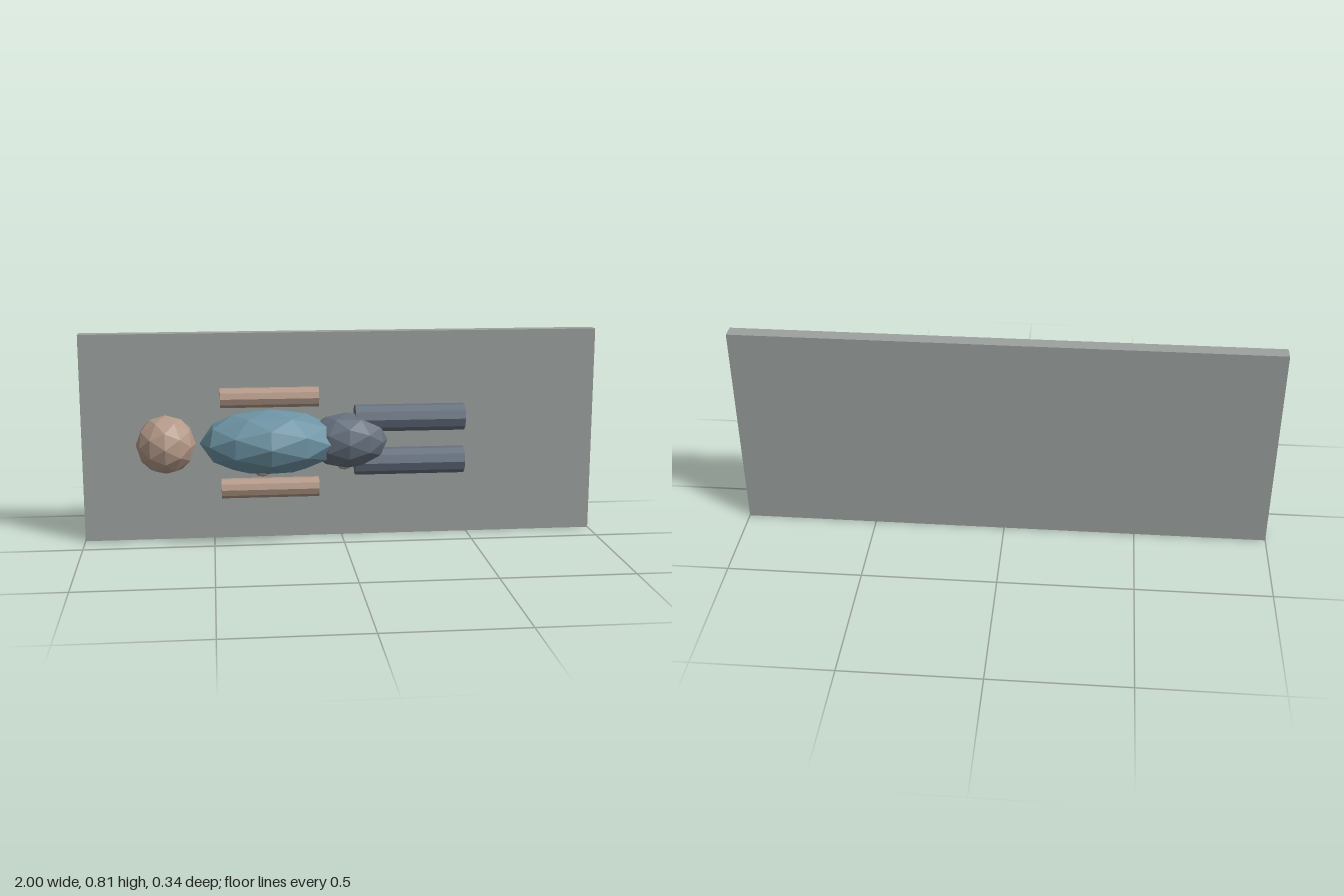
import * as THREE from 'three';

function material(name, color) {
  const m = new THREE.MeshStandardMaterial({ color, flatShading: true });
  m.name = name;
  return m;
}

export function createModel() {
  const group = new THREE.Group();
  group.name = 'recliningFigureRelief';
  const stone = material('stoneGrey', 0x9ca2a1);
  const skin = material('skinTan', 0xb49988);
  const shirt = material('shirtBlue', 0x6d93a4);
  const trousers = material('trouserSlate', 0x66707e);

  const add = (name, geometry, mat, x, y, z) => {
    const mesh = new THREE.Mesh(geometry, mat);
    mesh.name = name;
    mesh.position.set(x, y, z);
    group.add(mesh);
  };
  // Faceted ellipsoid
  const blob = (name, mat, pos, radii) =>
    add(name, new THREE.IcosahedronGeometry(1, 1).scale(...radii), mat, ...pos);
  // Ten-sided limb lying along x
  const limb = (name, mat, x0, x1, y, z, r) =>
    add(name, new THREE.CylinderGeometry(r, r, x1 - x0, 10).rotateZ(Math.PI / 2), mat, (x0 + x1) / 2, y, z);

  // Backing slab
  add('slab', new THREE.BoxGeometry(2, 0.806, 0.053), stone, 0, 0.403, -0.1445);

  // Head, torso and hips
  blob('head', skin, [-0.675, 0.405, 0.012], [0.112, 0.112, 0.114]);
  blob('torso', shirt, [-0.285, 0.405, 0], [0.265, 0.125, 0.17]);
  blob('hips', trousers, [0.01, 0.405, 0], [0.155, 0.108, 0.107]);

  // Arms and legs on both sides
  for (const [side, s] of [['upper', 1], ['lower', -1]]) {
    limb(side + 'Arm', skin, -0.47, -0.1, 0.404 + s * 0.174, 0.011, 0.038);
    limb(side + 'Leg', trousers, 0.04, 0.46, 0.404 + s * 0.084, -0.007, 0.052);
  }

  // Small flat pebbles close to the slab
  const pebbles = [
    [-0.675, 0.305, -0.1],
    [-0.31, 0.268, -0.097],
    [0.01, 0.287, -0.104],
    [0.272, 0.315, -0.108],
  ];
  for (const p of pebbles) blob('pebble', skin, p, [0.031, 0.021, 0.01]);

  return group;
}
